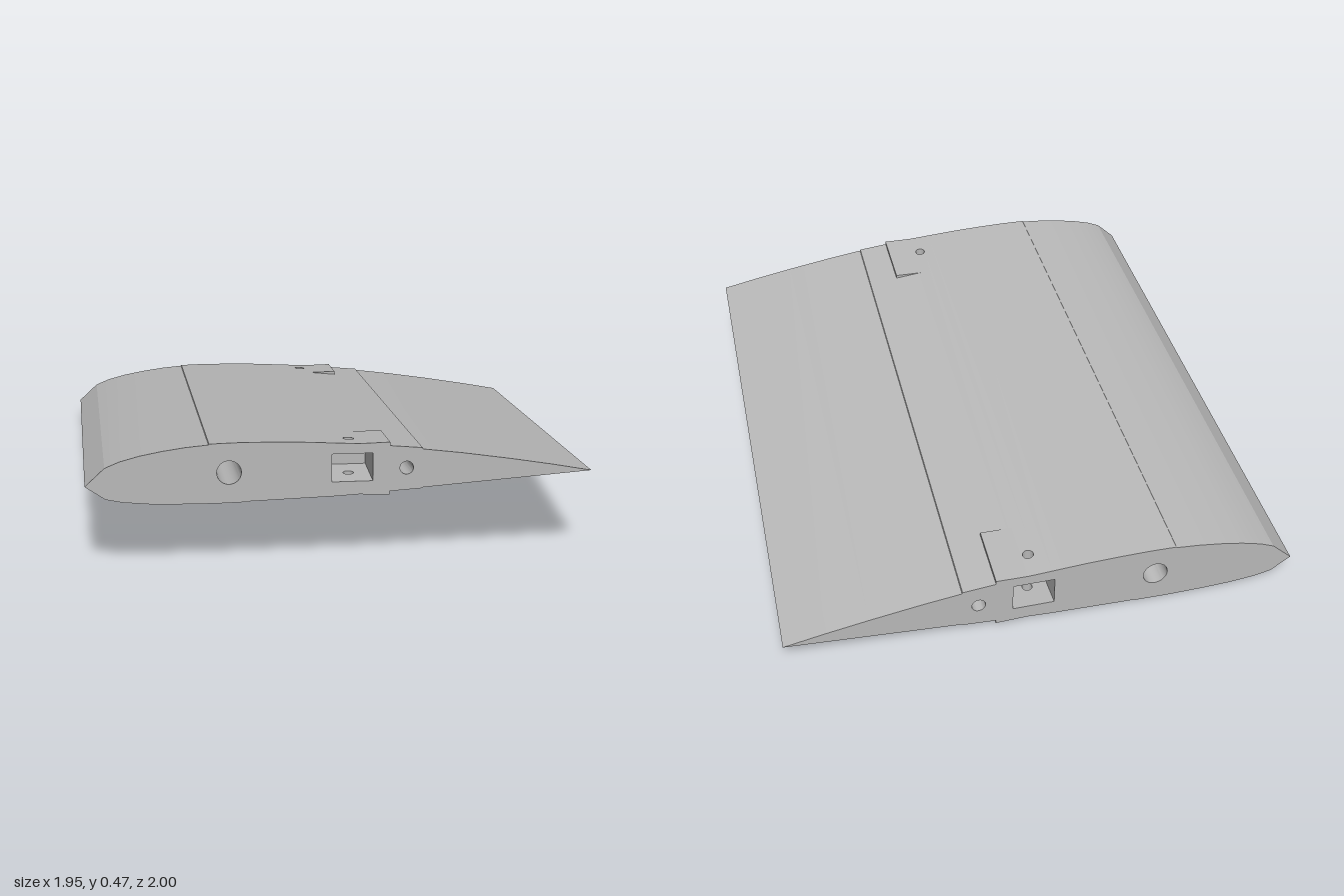
import * as THREE from 'three';
import { mergeGeometries, toCreasedNormals } from 'three/addons/utils/BufferGeometryUtils.js';

// Aerofoil section at the narrow (front) end, leading edge to trailing edge
const TOP = [[-0.9, 0.33], [-0.83, 0.395], [-0.78, 0.416], [-0.71, 0.435], [-0.63, 0.45], [-0.55, 0.461],
  [-0.47, 0.468], [-0.468, 0.471], [-0.38, 0.473], [-0.28, 0.472], [-0.15, 0.468], [-0.03, 0.461], [0.07, 0.455],
  [0.165, 0.445], [0.28, 0.434], [0.282, 0.429], [0.42, 0.411], [0.6, 0.383], [0.75, 0.357], [0.89, 0.33]];
const BOTTOM = [[-0.9, 0.33], [-0.83, 0.281], [-0.77, 0.268], [-0.68, 0.259], [-0.58, 0.255], [-0.45, 0.253],
  [-0.332, 0.255], [-0.33, 0.257], [-0.18, 0.261], [-0.03, 0.265], [0.07, 0.27], [0.165, 0.277],
  [0.28, 0.284], [0.282, 0.287], [0.55, 0.306], [0.89, 0.33]];
const SCREW = { u: 0.03, r: 0.019, z: 0.9 };
const BORES = [[-0.4, 0.365, 0.043], [0.225, 0.362, 0.024]];
const POCKET = { x0: -0.04, x1: 0.105, y0: 0.318, y1: 0.42, depth: 0.2 };

// Taper and slope: section coordinates (u, y) at station z become a point
const scaleAt = (z) => 1 + 0.087 * (1 - z) / 2;
const warp = (u, y, z) => [u * scaleAt(z), 0.33 + (y - 0.33) * scaleAt(z) - 0.123 * (1 - z), z];

function heightAt(profile, u) {
  const i = Math.max(1, profile.findIndex((p) => p[0] >= u));
  const [a, b] = [profile[i - 1], profile[i]];
  return a[1] + (b[1] - a[1]) * (u - a[0]) / (b[0] - a[0]);
}

function remap(source, fn, flip = false) {
  const g = source.index ? source.toNonIndexed() : source;
  const p = g.attributes.position;
  for (let i = 0; i < p.count; i++) p.setXYZ(i, ...fn(p.getX(i), p.getY(i), p.getZ(i)));
  if (flip) {
    const a = new THREE.Vector3(), b = new THREE.Vector3();
    for (let i = 0; i < p.count; i += 3) {
      a.fromBufferAttribute(p, i + 1);
      b.fromBufferAttribute(p, i + 2);
      p.setXYZ(i + 1, b.x, b.y, b.z);
      p.setXYZ(i + 2, a.x, a.y, a.z);
    }
  }
  g.deleteAttribute('uv');
  g.deleteAttribute('normal');
  g.clearGroups();
  return g;
}

const polygon = (pts) => new THREE.Shape(pts.map((p) => new THREE.Vector2(p[0], p[1])));
const rect = (x0, y0, x1, y1) => polygon([[x0, y0], [x1, y0], [x1, y1], [x0, y1]]);
const circle = (x, y, r) => new THREE.Path().absarc(x, y, r, 0, Math.PI * 2, true);
const sheet = (shape, fn, flip) => remap(new THREE.ShapeGeometry(shape, 16), fn, flip);
const tube = (fn) => remap(new THREE.CylinderGeometry(1, 1, 2, 32, 1, true), fn);

// One spanwise strip per profile step; the screw holes cut the strip they fall in
function skin(profile, flip) {
  const strips = [];
  for (let i = 1; i < profile.length; i++) {
    const [a, b] = [profile[i - 1], profile[i]];
    const shape = rect(a[0], -1, b[0], 1);
    if (a[0] < SCREW.u && b[0] > SCREW.u) {
      for (const s of [1, -1]) shape.holes.push(circle(SCREW.u, s * SCREW.z, SCREW.r));
    }
    strips.push(sheet(shape, (u, v) =>
      warp(u, a[1] + (b[1] - a[1]) * (u - a[0]) / (b[0] - a[0]), -v), flip));
  }
  return mergeGeometries(strips);
}

// End face with the rod bores and square pocket cut out
function endFace(z) {
  const shape = polygon([...BOTTOM, ...TOP.slice(1, -1).reverse()]);
  for (const [x, y, r] of BORES) shape.holes.push(circle(x, y, r));
  const { x0, x1, y0, y1 } = POCKET;
  shape.holes.push(rect(x0, y0, x1, y1));
  return sheet(shape, (u, y) => warp(u, y, z), z < 0);
}

// Level pocket running inward from an end, open at the end face
function pocket(s) {
  const k = scaleAt(s), zIn = s * (1 - POCKET.depth);
  const [x0, y0] = warp(POCKET.x0, POCKET.y0, s);
  const [x1, y1] = warp(POCKET.x1, POCKET.y1, s);
  const zLow = Math.min(s, zIn), zHigh = Math.max(s, zIn);
  const parts = [sheet(rect(x0, y0, x1, y1), (x, y) => [x, y, zIn], s < 0)];
  for (const y of [y0, y1]) {
    const floor = rect(x0, -zHigh, x1, -zLow);
    floor.holes.push(circle(SCREW.u * k, -s * SCREW.z, SCREW.r));
    parts.push(sheet(floor, (x, v) => [x, y, -v], y === y1));
  }
  for (const x of [x0, x1]) {
    parts.push(sheet(rect(-zHigh, y0, -zLow, y1), (v, y) => [x, y, -v], x === x1));
  }
  return mergeGeometries(parts);
}

// Screw hole walls between the outer skin and the pocket
function screwHole(s, profile, pocketY) {
  const inner = warp(0, pocketY, s)[1];
  return tube((x, y, z) => {
    const u = SCREW.u + SCREW.r * x, zz = s * SCREW.z + SCREW.r * z;
    const outer = warp(u, heightAt(profile, u), zz);
    return [outer[0], y > 0 ? outer[1] : inner, zz];
  });
}

// Thin wedge pad that rises out of the skin beside each screw
function pad(s, profile, edgeY) {
  const shape = polygon([[0.055, heightAt(profile, 0.055)], [0.165, heightAt(profile, 0.165)], [0.165, edgeY]]);
  const g = new THREE.ExtrudeGeometry(shape, { depth: 0.24, bevelEnabled: false });
  return remap(g, (u, y, d) => warp(u, y, s > 0 ? 0.76 + d : -1 + d));
}

export function createModel() {
  const group = new THREE.Group();
  group.name = 'wingSection';
  const grey = new THREE.MeshStandardMaterial({ color: 0xb8b8b8, side: THREE.DoubleSide });
  grey.name = 'lightGrey';
  const add = (name, geometry, crease = 0.35) => {
    const mesh = new THREE.Mesh(toCreasedNormals(geometry, crease), grey);
    mesh.name = name;
    group.add(mesh);
  };

  add('upperSkin', skin(TOP, false));
  add('lowerSkin', skin(BOTTOM, true));
  BORES.forEach(([cx, cy, r], i) =>
    add(i ? 'pinBore' : 'sparBore', tube((x, y, z) => warp(cx + r * x, cy + r * z, y))));

  for (const s of [1, -1]) {
    const end = s > 0 ? 'front' : 'back';
    add(end + 'EndFace', endFace(s));
    add(end + 'Pocket', pocket(s));
    add(end + 'UpperScrewHole', screwHole(s, TOP, POCKET.y1));
    add(end + 'LowerScrewHole', screwHole(s, BOTTOM, POCKET.y0));
    add(end + 'UpperPad', pad(s, TOP, 0.458));
    add(end + 'LowerPad', pad(s, BOTTOM, 0.265));
  }
  return group;
}
